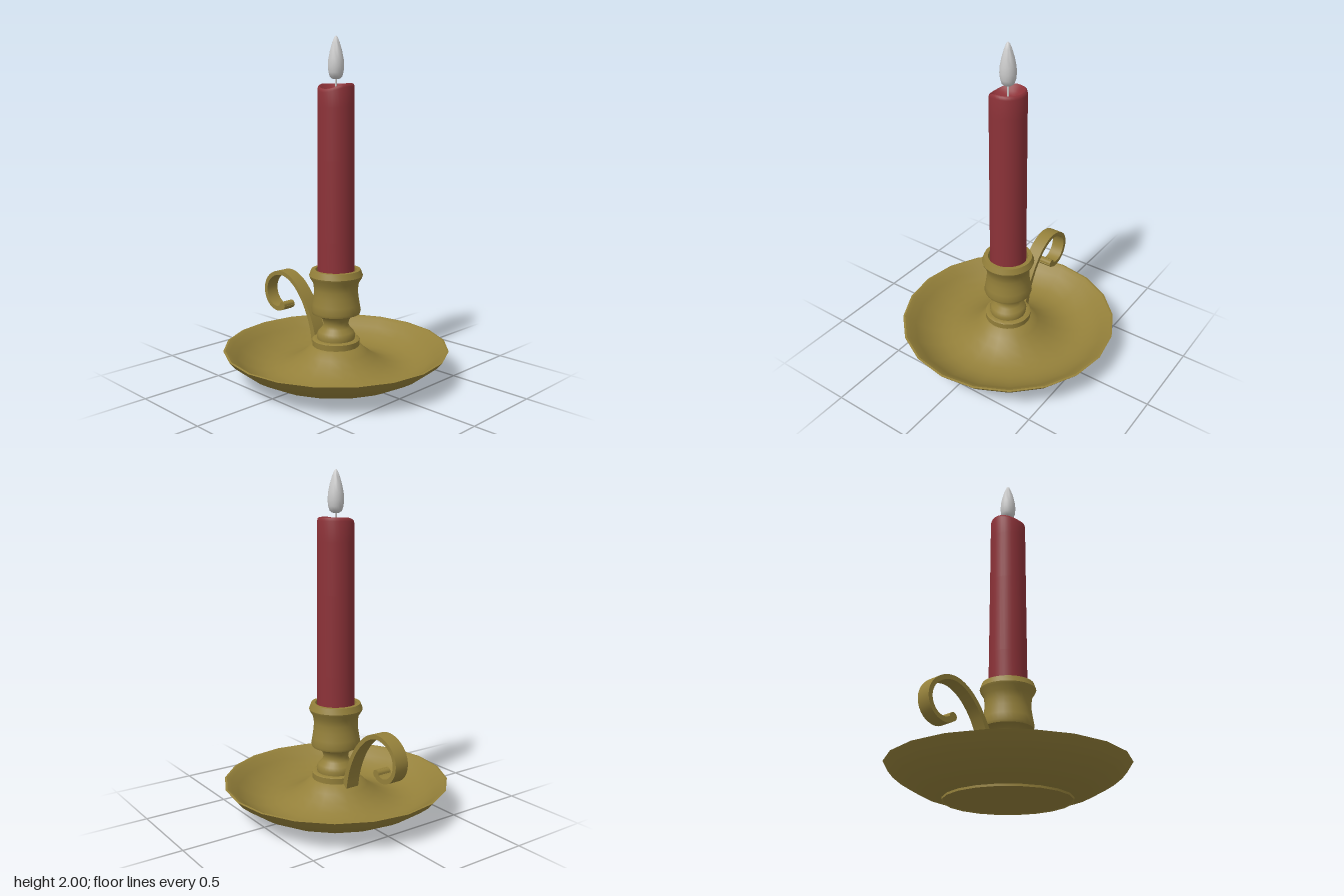
import * as THREE from 'three';
import { toCreasedNormals } from 'three/addons/utils/BufferGeometryUtils.js';

const brass = new THREE.MeshStandardMaterial({ color: 0x94803a });
const wax = new THREE.MeshStandardMaterial({ color: 0x8c3238 });
const grey = new THREE.MeshStandardMaterial({ color: 0xcccccc });

function addMesh(group, name, geometry, material, crease = 0.65) {
  const mesh = new THREE.Mesh(toCreasedNormals(geometry, crease), material);
  mesh.name = name;
  group.add(mesh);
  return mesh;
}

// Profile runs from the bottom, up the outside, then down the inside.
function lathe(profile, sides) {
  return new THREE.LatheGeometry(profile.map(([r, y]) => new THREE.Vector2(r, y)), sides);
}

// Flat ribbon following a curve in the XY plane, with varying thickness.
function ribbon(path, halfThickness, width, steps) {
  const curve = new THREE.CatmullRomCurve3(path.map(([x, y]) => new THREE.Vector3(x, y, 0)), false, 'centripetal');
  const sideA = [], sideB = [];
  for (let i = 0; i <= steps; i++) {
    const t = i / steps;
    const p = curve.getPointAt(t), d = curve.getTangentAt(t), h = halfThickness(t);
    sideA.push(new THREE.Vector2(p.x - d.y * h, p.y + d.x * h));
    sideB.push(new THREE.Vector2(p.x + d.y * h, p.y - d.x * h));
  }
  const shape = new THREE.Shape([...sideA, ...sideB.reverse()]);
  const geometry = new THREE.ExtrudeGeometry(shape, { depth: width, bevelEnabled: false });
  return geometry.translate(0, 0, -width / 2);
}

export function createModel() {
  const model = new THREE.Group();
  model.name = 'candlestick';

  // Shallow dish with a raised centre
  addMesh(model, 'dish', lathe([
    [0, 0.005], [0.345, 0.005], [0.35, 0], [0.35, 0.012], [0.41, 0.026], [0.47, 0.047], [0.53, 0.077],
    [0.585, 0.11], [0.635, 0.15], [0.667, 0.188], [0.655, 0.19], [0.63, 0.176], [0.59, 0.138],
    [0.54, 0.102], [0.48, 0.074], [0.42, 0.062], [0.36, 0.067], [0.3, 0.085], [0.24, 0.118],
    [0.19, 0.157], [0.15, 0.195], [0.12, 0.205], [0, 0.205],
  ], 20), brass);

  // Turned socket: collar, neck, cup and flared lip
  addMesh(model, 'socket', lathe([
    [0, 0.185], [0.14, 0.185], [0.142, 0.233], [0.135, 0.238], [0.112, 0.238], [0.115, 0.262], [0.105, 0.283],
    [0.082, 0.306], [0.074, 0.325], [0.078, 0.35], [0.095, 0.376], [0.115, 0.393], [0.142, 0.395],
    [0.147, 0.41], [0.14, 0.45], [0.132, 0.5], [0.13, 0.54], [0.136, 0.58], [0.155, 0.61],
    [0.159, 0.622], [0.146, 0.657], [0.122, 0.657], [0.115, 0.6], [0, 0.6],
  ], 32), brass);

  // Scrolled handle, thicker at its root and at the curled tip
  const handlePath = [
    [-0.148, 0.185], [-0.168, 0.27], [-0.205, 0.36], [-0.265, 0.455], [-0.345, 0.53], [-0.43, 0.563],
    [-0.51, 0.55], [-0.57, 0.505], [-0.593, 0.445], [-0.58, 0.385], [-0.54, 0.342], [-0.485, 0.328],
    [-0.445, 0.343], [-0.428, 0.365],
  ];
  const thickness = (t) => 0.013 + 0.006 * Math.max(0, 1 - t * 4) + 0.007 * Math.max(0, (t - 0.9) * 10);
  addMesh(model, 'handle', ribbon(handlePath, thickness, 0.084, 56), brass);
  const curl = addMesh(model, 'handleTip', new THREE.CylinderGeometry(0.024, 0.024, 0.084, 16), brass);
  curl.rotation.x = Math.PI / 2;
  curl.position.set(-0.438, 0.354, 0);

  // Candle with a melted hollow whose rim sags at the front
  const candle = lathe([
    [0, 0.6], [0.11, 0.6], [0.109, 0.83], [0.107, 1.3], [0.106, 1.6], [0.106, 1.715], [0.102, 1.73],
    [0.094, 1.735], [0.083, 1.725], [0.065, 1.7], [0.04, 1.682], [0, 1.677],
  ], 32);
  const pos = candle.attributes.position;
  for (let i = 0; i < pos.count; i++) {
    const x = pos.getX(i), y = pos.getY(i), z = pos.getZ(i);
    if (y < 1.69) continue;
    const front = Math.max(0, Math.cos(Math.atan2(x - 0.01, z)));
    pos.setY(i, y - 0.032 * front * front * Math.min(1, (y - 1.69) / 0.025));
  }
  addMesh(model, 'candle', candle, wax, 0.9);

  // Wick and flame
  const wick = addMesh(model, 'wick', new THREE.CylinderGeometry(0.005, 0.006, 0.11, 8), grey);
  wick.position.y = 1.72;
  addMesh(model, 'flame', lathe([
    [0, 1.757], [0.02, 1.759], [0.035, 1.77], [0.043, 1.795], [0.047, 1.83], [0.044, 1.87],
    [0.035, 1.915], [0.022, 1.96], [0.01, 1.99], [0, 2],
  ], 20), grey, 0.9);

  return model;
}
